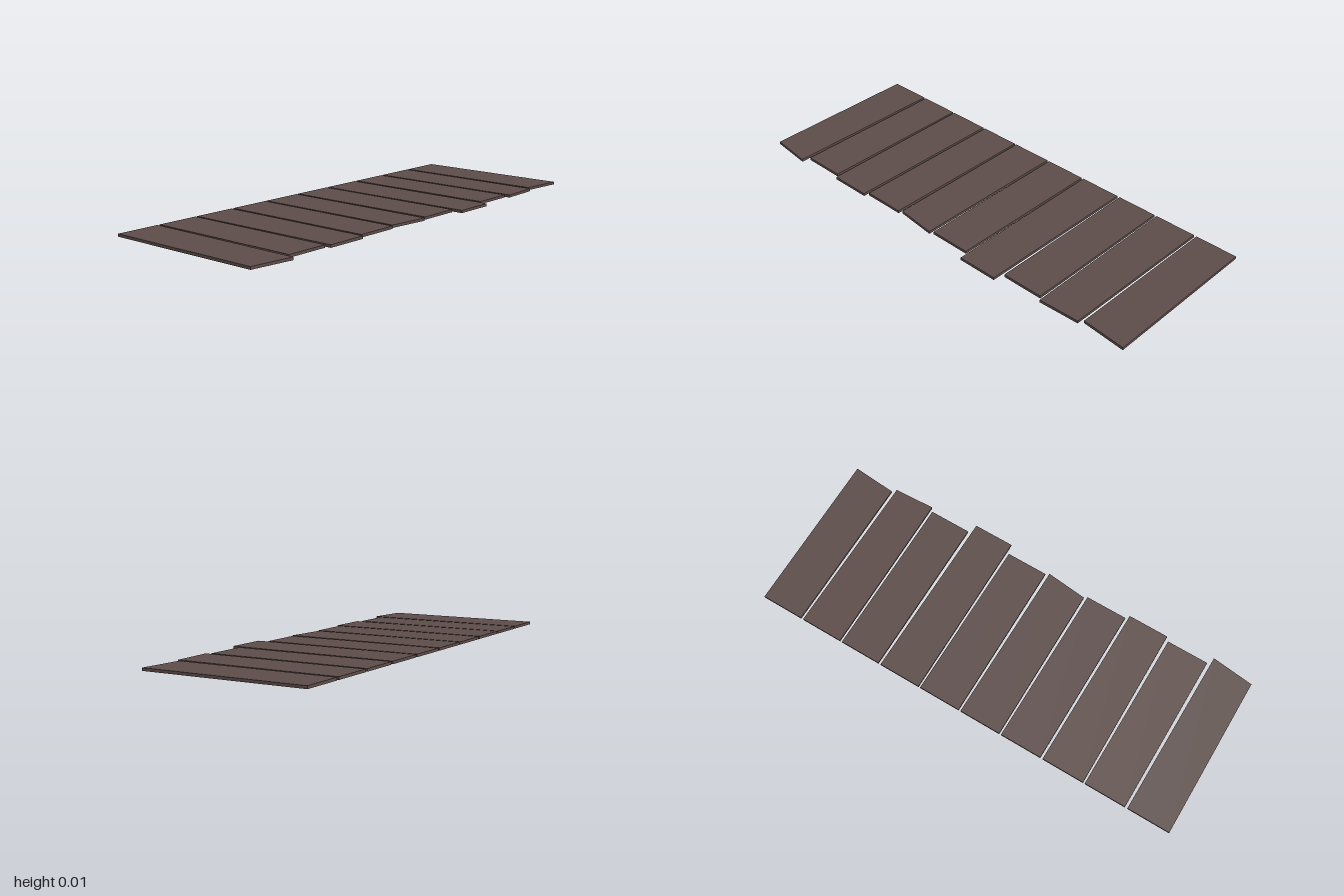
import * as THREE from 'three';

const THICKNESS = 0.012;
const BACK = -0.383;

// Per shingle: x at back left, back right, front left, front right; z at front left, front right
const SHINGLES = [
  [-1.0, -0.806, -1.0, -0.81, 0.352, 0.374],
  [-0.795, -0.606, -0.795, -0.606, 0.34, 0.34],
  [-0.598, -0.405, -0.592, -0.408, 0.358, 0.358],
  [-0.394, -0.204, -0.396, -0.208, 0.34, 0.34],
  [-0.195, -0.005, -0.195, -0.01, 0.33, 0.35],
  [0.005, 0.196, 0.005, 0.192, 0.34, 0.34],
  [0.205, 0.396, 0.205, 0.387, 0.383, 0.383],
  [0.408, 0.594, 0.404, 0.592, 0.34, 0.34],
  [0.605, 0.796, 0.605, 0.788, 0.358, 0.35],
  [0.808, 1.0, 0.804, 1.0, 0.332, 0.348],
];

// Flat slab cut to a quadrilateral outline, lying on the ground
function shingleGeometry([backL, backR, frontL, frontR, zL, zR]) {
  const outline = new THREE.Shape([
    new THREE.Vector2(backL, BACK),
    new THREE.Vector2(backR, BACK),
    new THREE.Vector2(frontR, zR),
    new THREE.Vector2(frontL, zL),
  ]);
  const geometry = new THREE.ExtrudeGeometry(outline, { depth: THICKNESS, bevelEnabled: false });
  geometry.rotateX(Math.PI / 2);
  geometry.translate(0, THICKNESS, 0);
  return geometry;
}

export function createModel() {
  const group = new THREE.Group();
  group.name = 'shingleRow';
  const wood = new THREE.MeshStandardMaterial({ color: 0x5c4c49 });

  // Row of uneven shingles with narrow gaps
  SHINGLES.forEach((spec, i) => {
    const shingle = new THREE.Mesh(shingleGeometry(spec), wood);
    shingle.name = `shingle${i + 1}`;
    group.add(shingle);
  });
  return group;
}
